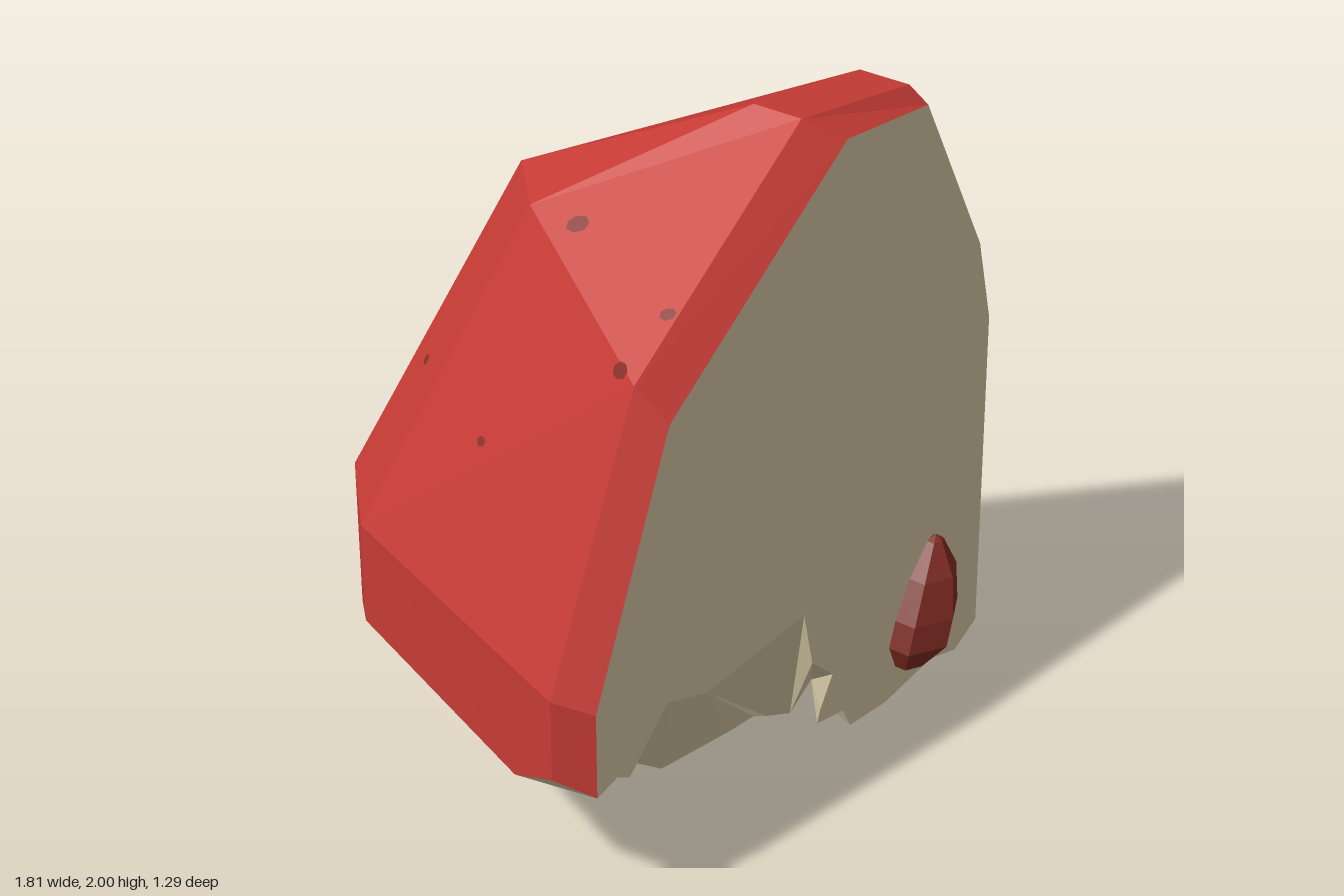
import * as THREE from 'three';

const material = (name, color) => {
  const m = new THREE.MeshStandardMaterial({ color, flatShading: true });
  m.name = name;
  return m;
};
const V = (x, y, z) => new THREE.Vector3(x, y, z);
const diag = (x, y) => V(x, y, 0.295 - x); // point on the diagonal cut
const back = (x, y) => V(x, y, -0.645);    // point on the rear cut
const INSIDE = V(0, 0.9, -0.4);

function meshOf(name, tris, mat) {
  const g = new THREE.BufferGeometry().setFromPoints(tris.flat());
  g.computeVertexNormals();
  const m = new THREE.Mesh(g, mat);
  m.name = name;
  return m;
}

// turn a triangle so that it faces away from the middle of the wedge
function outward([a, b, c]) {
  const n = b.clone().sub(a).cross(c.clone().sub(a));
  return n.dot(a.clone().sub(INSIDE)) < 0 ? [a, c, b] : [a, b, c];
}

const fan = (p) => p.slice(2).map((c, i) => outward([p[0], p[i + 1], c]));

// flat cut face with a ragged outline
function cutFace(p) {
  const flat = p.map((v) => new THREE.Vector2(v.x, v.y));
  return THREE.ShapeUtils.triangulateShape(flat, []).map((t) => outward(t.map((i) => p[i])));
}

// join two ragged rows running along x, facing down
function stitch(a, b) {
  const tris = [];
  let i = 0, j = 0;
  while (i < a.length - 1 || j < b.length - 1) {
    const stepA = j === b.length - 1 || (i < a.length - 1 && a[i + 1].x <= b[j + 1].x);
    if (stepA) { tris.push([a[i], b[j], a[i + 1]]); i++; }
    else { tris.push([a[i], b[j], b[j + 1]]); j++; }
  }
  return tris;
}

export function createModel() {
  const skinMat = material('red skin', 0xc63b35);
  const fleshMat = material('cream flesh', 0xcdbf9d);
  fleshMat.side = THREE.DoubleSide;
  const seedMat = material('brown seed', 0x78281f);
  const spotMat = material('dark speckle', 0x86302a);
  const model = new THREE.Group();
  model.name = 'fruitWedge';

  // skin corners: F lower edge, A widest ring, B shoulder, T and D crown, E far tip
  const F0 = back(-0.8, 0.26), F1 = V(-0.905, 0.35, -0.535), F2 = V(-0.905, 0.5, -0.2);
  const Fm = V(-0.55, 0.41, 0.455), F3 = V(-0.465, 0.5, 0.62), F4 = diag(-0.35, 0.45);
  const A0 = back(-0.8, 0.76), A1 = V(-0.905, 0.81, -0.535), A2 = V(-0.905, 0.81, -0.2);
  const A3 = V(-0.465, 0.745, 0.62), A4 = diag(-0.35, 0.71);
  const B0 = back(-0.34, 1.59), B1 = V(-0.415, 1.72, -0.535), B2 = V(-0.415, 1.72, -0.27);
  const B3 = V(-0.215, 1.525, 0.385), B4 = diag(-0.13, 1.43);
  const T1 = V(0.17, 2, -0.22), T2 = V(0.28, 2, -0.115), T3 = diag(0.4, 1.94);
  const D1 = V(0.61, 1.955, -0.38), D2 = V(0.495, 1.955, -0.49), D3 = V(0.495, 1.91, -0.555);
  const D4 = back(0.56, 1.74), D5 = diag(0.66, 1.9);
  const E0 = back(0.86, 1.27), E1 = diag(0.86, 1.37), E2 = diag(0.905, 1.11), E3 = back(0.905, 1.12);

  const skin = meshOf('skin', [
    [F0, F1, A1, A0], [F1, F2, A2, A1], [Fm, F3, A3, A2, F2], [F3, F4, A4, A3],
    [A0, A1, B1, B0], [A1, A2, B2, B1], [A2, A3, B3, B2], [A3, A4, B4, B3],
    [B0, B1, D3, D4], [B1, B2, T1, D2, D3], [T1, T2, D1, D2], [B2, B3, T2, T1],
    [B3, B4, T3, T2], [T2, T3, D5, D1],
    [D2, D3, D4, E0, E1, D5, D1], [E0, E3, E2, E1],
  ].flatMap(fan), skinMat);
  model.add(skin);

  // ragged lower rows: diagonal cut, middle of the bite, rear cut
  const frontRow = [
    [-0.29, 0.47], [-0.255, 0.44], [-0.14, 0.59], [-0.02, 0.53], [0.29, 0.55], [0.32, 0.37],
    [0.39, 0.28], [0.35, 0.19], [0.34, 0.15], [0.43, 0.125], [0.455, 0.055], [0.58, 0.04],
    [0.74, 0.07], [0.83, 0.035], [0.905, 0.09],
  ].map(([x, y]) => diag(x, y));
  const backRow = [
    [-0.68, 0.24], [-0.62, 0.34], [-0.37, 0.18], [-0.18, 0.2], [-0.03, 0.12], [0.08, 0.2],
    [0.13, 0.26], [0.34, 0.3], [0.55, 0.35], [0.68, 0.04], [0.835, 0.02], [0.905, 0.05],
  ].map(([x, y]) => back(x, y));
  const midRow = [
    Fm, V(-0.29, 0.35, 0.33), V(-0.25, 0.28, 0.24), V(-0.13, 0.21, 0.2), V(0.08, 0.19, 0.02),
    V(0.16, 0.18, -0.06), V(0.22, 0.08, -0.2), V(0.29, 0.07, -0.22), V(0.36, 0.14, -0.28),
    V(0.4, 0.03, -0.33), V(0.52, 0, -0.43), V(0.68, 0.05, -0.5), frontRow.at(-1),
  ];
  const front = [F3, F4, ...frontRow], rear = [F2, F1, F0, ...backRow];

  model.add(
    meshOf('diagonalCut', cutFace([A4, B4, T3, D5, E1, E2, ...frontRow.slice().reverse(), F4]), fleshMat),
    meshOf('rearCut', cutFace([A0, B0, D4, E0, E3, ...backRow.slice().reverse(), F0]), fleshMat),
    meshOf('tipCut', fan([E2, E3, backRow.at(-1), frontRow.at(-1)]), fleshMat),
    meshOf('bite', [...stitch(front, midRow), ...stitch(midRow, rear)], fleshMat),
  );

  // seed: six-sided drop with its tip leaning along the cut
  const profile = [[0, 0.14], [0.05, 0.14], [0.115, 0.22], [0.115, 0.3], [0.085, 0.41], [0.025, 0.495], [0, 0.51]];
  const seedGeo = new THREE.LatheGeometry(profile.map(([r, y]) => new THREE.Vector2(r, y)), 6);
  const pos = seedGeo.attributes.position;
  for (let i = 0; i < pos.count; i++) {
    const y = pos.getY(i);
    pos.setX(i, pos.getX(i) * 1.08 + (y - 0.28) * 0.34);
  }
  seedGeo.computeVertexNormals();
  const seed = new THREE.Mesh(seedGeo, seedMat);
  seed.name = 'seed';
  seed.rotation.y = Math.PI / 4;
  seed.position.set(0.685, 0, -0.375);
  model.add(seed);

  // speckles: small flat plates dropped onto the skin, [origin, direction, radius]
  const down = V(0, -1, 0), inX = V(1, 0, 0);
  const ray = new THREE.Raycaster();
  [
    [V(0.28, 3, -0.515), down, 0.037], [V(-0.3, 3, -0.14), down, 0.034],
    [V(-0.58, 3, 0.03), down, 0.018], [V(-0.24, 3, 0.32), down, 0.03],
    [V(-0.11, 3, 0.24), down, 0.024], [V(0.6, 3, -0.41), down, 0.03],
    [V(-3, 1.15, -0.59), inX, 0.025], [V(-3, 0.47, -0.59), inX, 0.022],
    [V(-3, 0.55, -0.3), inX, 0.025], [V(-3, 1.2, -0.4), inX, 0.02],
  ].forEach(([origin, dir, r], i) => {
    ray.set(origin, dir);
    const hit = ray.intersectObject(skin)[0];
    if (!hit) return;
    const spot = new THREE.Mesh(new THREE.CircleGeometry(r, 7), spotMat);
    spot.name = `speckle${i + 1}`;
    spot.scale.y = 0.8;
    spot.quaternion.setFromUnitVectors(V(0, 0, 1), hit.face.normal);
    spot.position.copy(hit.point).addScaledVector(hit.face.normal, 0.004);
    model.add(spot);
  });
  return model;
}
